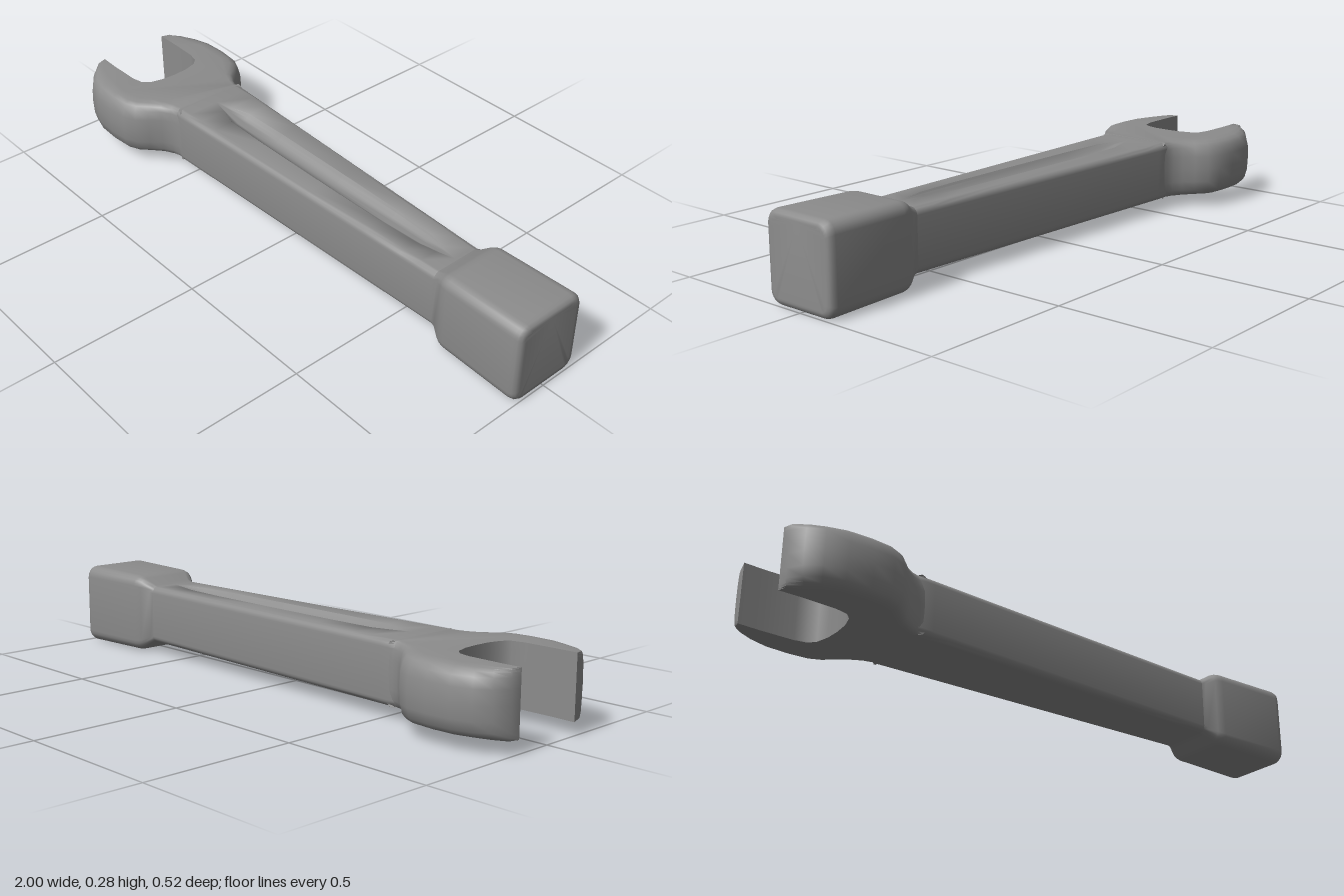
import * as THREE from 'three';
import { toCreasedNormals } from 'three/addons/utils/BufferGeometryUtils.js';

const steel = new THREE.MeshStandardMaterial({ color: 0x8c8c8c });

// Joins equal-length rings of points into a skin; caps are extra triangles
function loft(rings, caps, name) {
  const n = rings[0].length, index = [];
  for (let j = 0; j < rings.length - 1; j++) {
    for (let i = 0; i < n; i++) {
      const a = j * n + i, b = j * n + (i + 1) % n;
      index.push(a, b, a + n, b, b + n, a + n);
    }
  }
  const g = new THREE.BufferGeometry();
  g.setAttribute('position', new THREE.Float32BufferAttribute(rings.flat(2), 3));
  g.setIndex([...index, ...caps]);
  const mesh = new THREE.Mesh(toCreasedNormals(g, 0.85), steel);
  mesh.name = name;
  return mesh;
}

// Open jaw: plan outline with its outer edge rounded over the thickness
function createJaw() {
  // x, z, share of the edge rounding (0 keeps the mouth edges sharp)
  const half = [
    [-0.745, 0, 0], [-0.748, 0.05, 0], [-0.76, 0.095, 0], [-0.78, 0.117, 0],
    [-0.82, 0.126, 0], [-0.93, 0.128, 0], [-1, 0.126, 0], [-0.998, 0.16, 0.15],
    [-0.97, 0.203, 0.6], [-0.925, 0.237, 1], [-0.86, 0.256, 1], [-0.78, 0.26, 1],
    [-0.71, 0.254, 1], [-0.665, 0.234, 1], [-0.632, 0.2, 0.9], [-0.603, 0.166, 0.6],
    [-0.575, 0.146, 0.45], [-0.55, 0.138, 0.4], [-0.52, 0.134, 0.4],
  ];
  const outline = [...half, ...half.slice(1).reverse().map(([x, z, w]) => [x, -z, w])];
  const n = outline.length;
  const inward = outline.map((p, i) => {
    const a = outline[(i + n - 1) % n], b = outline[(i + 1) % n];
    return new THREE.Vector2(b[1] - a[1], a[0] - b[0]).normalize();
  });
  // height from the middle, inset
  const upper = [[0, 0], [0.045, 0.002], [0.076, 0.01], [0.09, 0.022], [0.097, 0.038], [0.1, 0.062]];
  const layers = [...upper.slice(1).reverse().map(([h, d]) => [-h, d]), ...upper];
  const rings = layers.map(([h, d]) => outline.map(([x, z, w], i) =>
    [x + inward[i].x * d * w, 0.14 + h, z + inward[i].y * d * w]));
  const flat = rings[0].map(p => new THREE.Vector2(p[0], -p[2]));
  const top = (rings.length - 1) * n;
  const caps = THREE.ShapeUtils.triangulateShape(flat, [])
    .flatMap(([a, b, c]) => [a + top, b + top, c + top, a, c, b]);
  return loft(rings, caps, 'openJaw');
}

// Rounded rectangle across the x axis, with a hollow of given width and depth on top
function section([x, hz, y0, y1, r, w = 0.002, d = 0]) {
  const ring = [], steps = 5;
  const corner = (cz, cy, start) => {
    for (let i = 0; i <= steps; i++) {
      const a = start - (i / steps) * Math.PI / 2;
      ring.push([x, cy + r * Math.sin(a), cz + r * Math.cos(a)]);
    }
  };
  for (let i = 0; i <= 12; i++) {
    const a = (i / 12) * Math.PI;
    ring.push([x, y1 - d * Math.sin(a) ** 2, -w * Math.cos(a)]);
  }
  corner(hz - r, y1 - r, Math.PI / 2);
  corner(hz - r, y0 + r, 0);
  corner(r - hz, y0 + r, -Math.PI / 2);
  corner(r - hz, y1 - r, -Math.PI);
  return ring;
}

// Tapered handle running from inside the jaw to the flare
function createHandle() {
  const at = (x, w, d) => [x, THREE.MathUtils.mapLinear(x, -0.55, 0.64, 0.137, 0.096), 0.04, 0.24, 0.022, w, d];
  const rings = [
    [-0.63, 0.12, 0.05, 0.23, 0.022], [-0.58, 0.13, 0.041, 0.239, 0.022], at(-0.53), at(-0.5),
    at(-0.44, 0.018, 0.008), at(-0.37, 0.038, 0.022), at(-0.2, 0.042, 0.027),
    at(0.1, 0.041, 0.028), at(0.35, 0.038, 0.027), at(0.5, 0.03, 0.02),
    at(0.57, 0.016, 0.009), at(0.63), at(0.66),
  ].map(section);
  return loft(rings, [], 'handle');
}

// Square striking block with a flared neck and rounded end
function createStrikingBlock() {
  const rings = [
    [0.64, 0.096, 0.04, 0.24, 0.022], [0.655, 0.099, 0.034, 0.246, 0.024],
    [0.685, 0.116, 0.014, 0.266, 0.03], [0.697, 0.121, 0.008, 0.271, 0.033],
    [0.715, 0.124, 0.005, 0.274, 0.035], [0.975, 0.13, 0, 0.278, 0.038],
    [0.988, 0.128, 0.002, 0.276, 0.038], [0.997, 0.121, 0.009, 0.269, 0.034],
    [1, 0.111, 0.019, 0.259, 0.028], [1, 0.105, 0.025, 0.253, 0.025],
  ].map(section);
  const n = rings[0].length, last = (rings.length - 1) * n, caps = [];
  for (let i = 1; i < n - 1; i++) caps.push(last, last + i, last + i + 1);
  return loft(rings, caps, 'strikingBlock');
}

export function createModel() {
  const group = new THREE.Group();
  group.name = 'strikingWrench';
  group.add(createJaw(), createHandle(), createStrikingBlock());
  return group;
}
